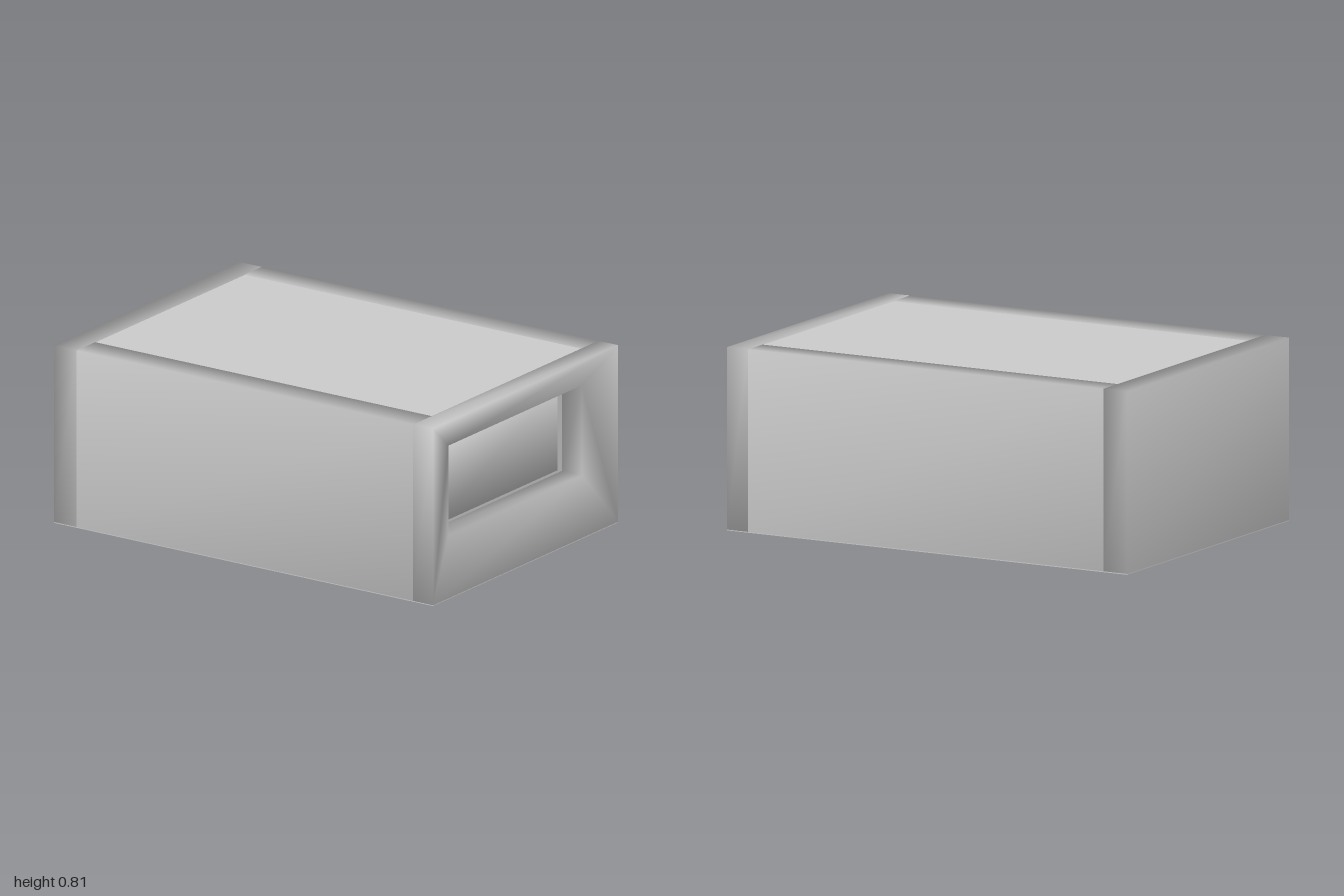
import * as THREE from 'three';
import { mergeVertices } from 'three/addons/utils/BufferGeometryUtils.js';

const material = new THREE.MeshStandardMaterial({ color: 0xcccccc });

// Share corner vertices so the shading runs softly around the edges
function soften(geometry) {
  geometry.deleteAttribute('normal');
  geometry.deleteAttribute('uv');
  const merged = mergeVertices(geometry, 1e-4);
  merged.computeVertexNormals();
  return merged;
}

// Box given by its [min, max] range on each axis
function block([x0, x1], [y0, y1], [z0, z1]) {
  return new THREE.BoxGeometry(x1 - x0, y1 - y0, z1 - z0)
    .translate((x0 + x1) / 2, (y0 + y1) / 2, (z0 + z1) / 2);
}

// Rectangle outline, traced in the given order of corners
function rectangle(PathType, a0, a1, y0, y1) {
  return new PathType([[a0, y0], [a1, y0], [a1, y1], [a0, y1]]
    .map(([a, y]) => new THREE.Vector2(a, y)));
}

export function createModel() {
  const group = new THREE.Group();
  const add = (name, geometry) => {
    const mesh = new THREE.Mesh(geometry, material);
    mesh.name = name;
    group.add(mesh);
  };

  const wallY = [0.004, 0.808];
  const innerX = [-0.88, 0.895];

  // Flat base and solid core whose top lies flush with the walls
  add('base', block([-1, 1], [0, 0.004], [-0.7, 0.7]));
  add('core', block(innerX, [0.004, 0.806], [-0.575, 0.56]));

  // Plain walls
  add('frontWall', soften(block(innerX, wallY, [0.56, 0.7])));
  add('backWall', soften(block(innerX, wallY, [-0.7, -0.575])));
  add('rightWall', soften(block([-1, -0.88], wallY, [-0.7, 0.7])));

  // Left wall with a rectangular window; shape x becomes -z
  const wall = rectangle(THREE.Shape, -0.7, 0.7, ...wallY);
  wall.holes.push(rectangle(THREE.Path, -0.585, 0.425, 0.29, 0.7));
  const windowWall = new THREE.ExtrudeGeometry(wall, { depth: 0.105, bevelEnabled: false });
  windowWall.rotateY(Math.PI / 2).translate(0.895, 0, 0);
  add('leftWindowWall', soften(windowWall));

  // Recessed panel seen through the window
  add('windowPanel', soften(block([0.5, 0.9], [0.305, 0.69], [-0.385, 0.555])));

  return group;
}
